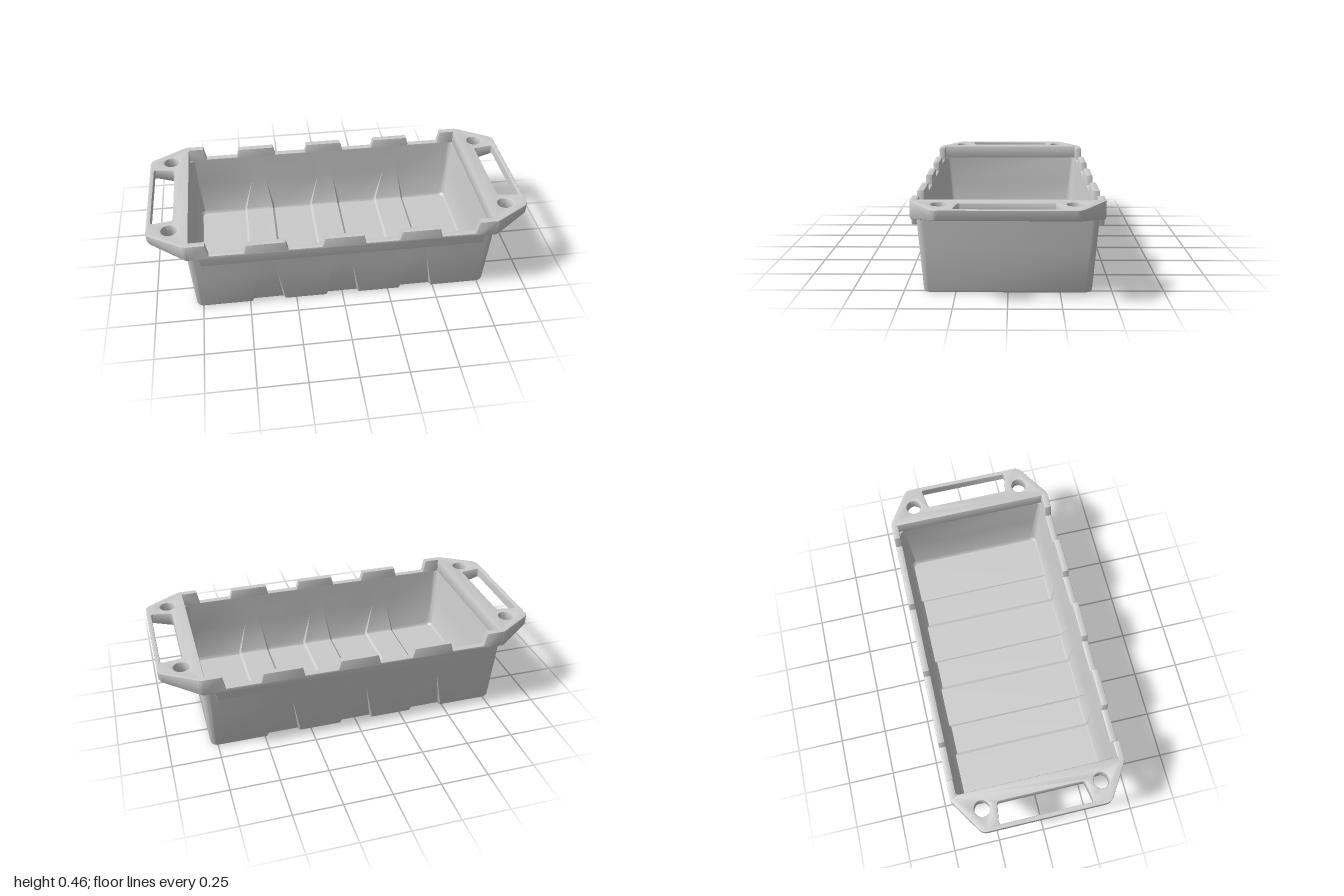
import * as THREE from 'three';
import { toCreasedNormals } from 'three/addons/utils/BufferGeometryUtils.js';

const material = new THREE.MeshStandardMaterial({ color: 0xcccccc });
const FLUTES = [-0.4, 0, 0.4];
const TOP = 0.46;

function addMesh(group, name, geometry, crease = 0.6) {
  const mesh = new THREE.Mesh(toCreasedNormals(geometry, crease), material);
  mesh.name = name;
  group.add(mesh);
  return mesh;
}

// Front half of one rounded rectangular ring, left to right, dented at the flutes
function halfRing({ y, hx, hz, r, d = 0, w = 0.05, lift = 0 }) {
  const pts = [];
  const corner = (side) => {
    for (let i = 0; i <= 6; i++) {
      const a = (side < 0 ? Math.PI : Math.PI / 2) - (i / 6) * (Math.PI / 2);
      pts.push([side * (hx - r) + r * Math.cos(a), y, hz - r + r * Math.sin(a)]);
    }
  };
  corner(-1);
  for (const c of FLUTES) {
    pts.push([c - w, y, hz], [c - w + 0.012, y + lift, hz - d]);
    pts.push([c + w - 0.012, y + lift, hz - d], [c + w, y, hz]);
  }
  corner(1);
  return pts;
}

// Tapered tub: rings run up the outside, over the lip and down the inside
function tubGeometry() {
  const levels = [
    { y: 0, hx: 0.772, hz: 0.392, r: 0.028, d: 0.01, w: 0.09, lift: 0.01 },
    { y: 0.004, hx: 0.781, hz: 0.401, r: 0.033, d: 0.01, w: 0.09, lift: 0.01 },
    { y: 0.015, hx: 0.785, hz: 0.405, r: 0.035, d: 0.01, w: 0.09, lift: 0.008 },
    { y: 0.22, hx: 0.797, hz: 0.42, r: 0.035 },
    { y: 0.385, hx: 0.805, hz: 0.432, r: 0.035 },
    { y: 0.385, hx: 0.786, hz: 0.422, r: 0.03 },
    { y: 0.22, hx: 0.772, hz: 0.408, r: 0.03 },
    { y: 0.035, hx: 0.755, hz: 0.393, r: 0.03, d: 0.01, w: 0.09, lift: 0.008 },
    { y: 0.022, hx: 0.745, hz: 0.383, r: 0.025, d: 0.01, w: 0.09, lift: 0.01 },
  ];
  const pos = [];
  const index = [];
  for (const level of levels) {
    const front = halfRing(level);
    const back = front.map(([x, y, z]) => [x, y, -z]).reverse();
    pos.push(...front.flat(), ...back.flat());
  }
  const n = pos.length / 3 / levels.length;
  const quad = (a, b, c, d) => index.push(a, b, c, a, c, d);
  for (let k = 0; k < levels.length - 1; k++) {
    for (let i = 0; i < n; i++) {
      const j = (i + 1) % n;
      quad(k * n + i, k * n + j, (k + 1) * n + j, (k + 1) * n + i);
    }
  }
  // Underside and floor, as strips from the front edge to the back edge
  const last = (levels.length - 1) * n;
  for (let i = 0; i < n / 2 - 1; i++) {
    quad(i, n - 1 - i, n - 2 - i, i + 1);
    quad(last + i, last + i + 1, last + n - 2 - i, last + n - 1 - i);
  }
  const g = new THREE.BufferGeometry();
  g.setAttribute('position', new THREE.Float32BufferAttribute(pos, 3));
  g.setIndex(index);
  return g;
}

// Long rim with raised teeth and a skirt hanging over the wall
function railGeometry() {
  const outline = [[-0.8, 0.372], [-0.745, 0.37], [-0.735, 0.325], [0.735, 0.325],
    [0.745, 0.37], [0.8, 0.372], [0.8, TOP], [0.705, TOP], [0.69, 0.39]];
  for (const c of [...FLUTES].reverse()) {
    outline.push([c + 0.113, 0.39], [c + 0.1, 0.44], [c - 0.1, 0.44], [c - 0.113, 0.39]);
  }
  outline.push([-0.69, 0.39], [-0.705, TOP], [-0.8, TOP]);
  const shape = new THREE.Shape(outline.map(([x, y]) => new THREE.Vector2(x, y)));
  const b = 0.005;
  const g = new THREE.ExtrudeGeometry(shape, {
    depth: 0.036 - 2 * b, bevelSize: b, bevelThickness: b, bevelOffset: -b, bevelSegments: 2,
  });
  return g.translate(0, 0, 0.422 + b);
}

// End plate with a grip slot and two round holes; its underside slopes up outwards
function handleGeometry() {
  const s = new THREE.Shape();
  s.moveTo(0.786, -0.458);
  s.lineTo(0.79, -0.458);
  s.quadraticCurveTo(0.806, -0.458, 0.82, -0.448);
  s.lineTo(0.977, -0.348);
  s.quadraticCurveTo(1, -0.333, 1, -0.305);
  s.lineTo(1, 0.305);
  s.quadraticCurveTo(1, 0.333, 0.977, 0.348);
  s.lineTo(0.82, 0.448);
  s.quadraticCurveTo(0.806, 0.458, 0.79, 0.458);
  s.lineTo(0.786, 0.458);
  s.closePath();

  const slot = new THREE.Path();
  slot.moveTo(0.865, -0.215);
  slot.lineTo(0.865, 0.215);
  slot.quadraticCurveTo(0.865, 0.228, 0.878, 0.23);
  slot.lineTo(0.962, 0.243);
  slot.quadraticCurveTo(0.978, 0.245, 0.978, 0.23);
  slot.lineTo(0.978, -0.23);
  slot.quadraticCurveTo(0.978, -0.245, 0.962, -0.243);
  slot.lineTo(0.878, -0.23);
  slot.quadraticCurveTo(0.865, -0.228, 0.865, -0.215);
  s.holes.push(slot);
  for (const side of [-1, 1]) {
    s.holes.push(new THREE.Path().absarc(0.882, side * 0.31, 0.041, 0, Math.PI * 2, true));
  }

  const b = 0.005;
  const depth = 0.09;
  const g = new THREE.ExtrudeGeometry(s, {
    depth: depth - 2 * b, bevelSize: b, bevelThickness: b, bevelOffset: -b,
    bevelSegments: 2, curveSegments: 16,
  });
  g.translate(0, 0, b).rotateX(-Math.PI / 2);
  const p = g.attributes.position;
  for (let i = 0; i < p.count; i++) {
    const bottom = 0.37 + Math.max(0, p.getX(i) - 0.8) * 0.2;
    p.setY(i, THREE.MathUtils.lerp(bottom, TOP, p.getY(i) / depth));
  }
  return g;
}

export function createModel() {
  const model = new THREE.Group();
  model.name = 'storageTray';
  addMesh(model, 'tub', tubGeometry());
  addMesh(model, 'frontRail', railGeometry());
  addMesh(model, 'backRail', railGeometry().rotateY(Math.PI));
  addMesh(model, 'leftHandle', handleGeometry());
  addMesh(model, 'rightHandle', handleGeometry().rotateY(Math.PI));
  return model;
}
